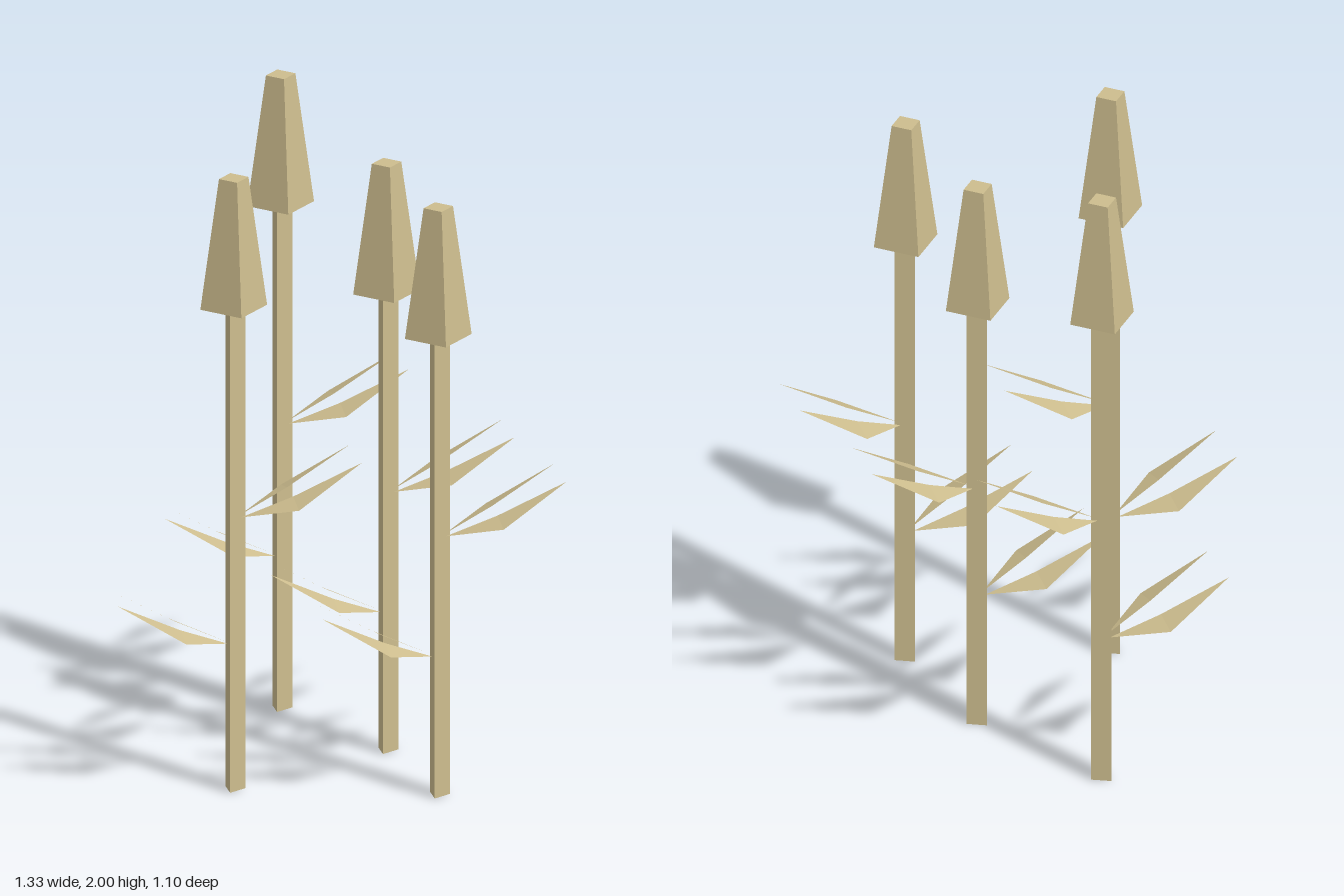
import * as THREE from 'three';

const straw = new THREE.MeshStandardMaterial({ color: 0xcdbd8e, flatShading: true, side: THREE.DoubleSide });
straw.name = 'straw';

const CAP_HEIGHT = 0.408;

// Kite-shaped leaf folded across its widest point; sx and sz mirror it
function leafGeometry(sx, sz) {
  const base = [0.02, 0, 0.01];
  const outer = [0.172, 0.047, 0.121];
  const inner = [0.172, 0.065, 0.042];
  const tip = [0.373, 0.17, 0.083];
  const corners = [base, outer, inner, outer, tip, inner];
  if (sx * sz > 0) corners.reverse(); // keep the upper side as the front
  const points = corners.flatMap(([x, y, z]) => [x * sx, y, z * sz]);
  const geometry = new THREE.BufferGeometry();
  geometry.setAttribute('position', new THREE.Float32BufferAttribute(points, 3));
  geometry.computeVertexNormals();
  return geometry;
}

function addPart(group, name, geometry, y) {
  const mesh = new THREE.Mesh(geometry, straw);
  mesh.name = name;
  mesh.position.y = y;
  group.add(mesh);
}

function createReed(stemHeight) {
  const reed = new THREE.Group();
  reed.name = 'reed';
  // Three-sided stem with one edge towards +x
  addPart(reed, 'stem', new THREE.CylinderGeometry(0.036, 0.036, stemHeight, 3, 1, false, Math.PI / 2), stemHeight / 2);
  // Four-sided tapered head
  addPart(reed, 'head', new THREE.CylinderGeometry(0.045, 0.102, CAP_HEIGHT, 4), stemHeight + CAP_HEIGHT / 2);
  // Upper pair of leaves to +x, lower pair to -x
  for (const sz of [1, -1]) {
    addPart(reed, 'upperLeaf', leafGeometry(1, sz), stemHeight * 0.565);
    addPart(reed, 'lowerLeaf', leafGeometry(-1, sz), stemHeight * 0.305);
  }
  return reed;
}

export function createModel() {
  const model = new THREE.Group();
  model.name = 'reeds';
  // x, z, stem height
  const reeds = [
    [0.004, -0.431, 1.592],
    [0.227, 0.007, 1.446],
    [-0.294, 0.244, 1.52],
    [0.288, 0.43, 1.446],
  ];
  for (const [x, z, height] of reeds) {
    const reed = createReed(height);
    reed.position.set(x, 0, z);
    model.add(reed);
  }
  return model;
}
